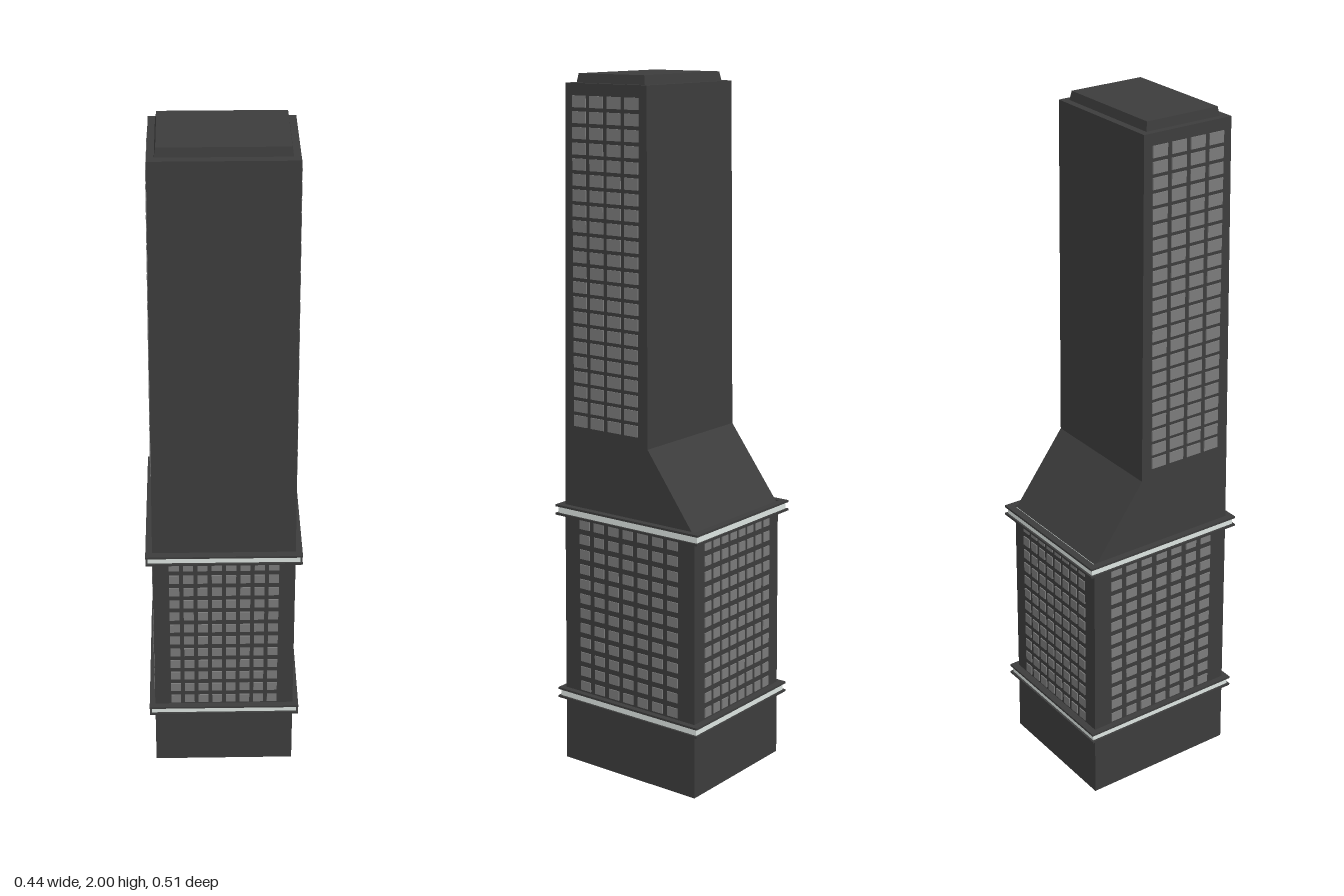
import * as THREE from 'three';
import { mergeGeometries } from 'three/addons/utils/BufferGeometryUtils.js';

const mat = (name, color, side = THREE.FrontSide) => {
  const m = new THREE.MeshStandardMaterial({ color, side });
  m.name = name;
  return m;
};

// Rectangular sections [y, halfWidth, zBack, zFront], base to top
const SHAFT = [
  [0, 0.206, -0.235, 0.238],
  [0.77, 0.203, -0.23, 0.233],
  [0.99, 0.201, -0.067, 0.231],
  [1.975, 0.192, -0.061, 0.22],
];
const ROOF = [
  [1.975, 0.173, -0.04, 0.196],
  [2.0, 0.169, -0.035, 0.192],
];

// Interpolated section of the shaft at a height
function sectionAt(y) {
  let i = 0;
  while (i < SHAFT.length - 2 && y > SHAFT[i + 1][0]) i++;
  const a = SHAFT[i], b = SHAFT[i + 1];
  const t = (y - a[0]) / (b[0] - a[0]);
  return a.map((v, k) => v + (b[k] - v) * t);
}

// Four-sided walls through the sections, with a flat lid and an open bottom
function loft(sections) {
  const pos = [];
  const corners = ([y, w, zb, zf]) => [[-w, y, zf], [w, y, zf], [w, y, zb], [-w, y, zb]];
  const quad = (a, b, c, d) => pos.push(...a, ...b, ...c, ...a, ...c, ...d);
  for (let i = 0; i < sections.length - 1; i++) {
    const lo = corners(sections[i]), hi = corners(sections[i + 1]);
    for (let k = 0; k < 4; k++) {
      const n = (k + 1) % 4;
      quad(lo[k], lo[n], hi[n], hi[k]);
    }
  }
  quad(...corners(sections[sections.length - 1]));
  const g = new THREE.BufferGeometry();
  g.setAttribute('position', new THREE.Float32BufferAttribute(pos, 3));
  g.computeVertexNormals();
  return g;
}

// Flat rectangular ring lying at height y
function ring(w, d, innerW, innerD, y, height) {
  const rect = (T, a, b) => {
    const p = new T();
    p.moveTo(-a, -b);
    p.lineTo(a, -b);
    p.lineTo(a, b);
    p.lineTo(-a, b);
    p.closePath();
    return p;
  };
  const shape = rect(THREE.Shape, w, d);
  shape.holes.push(rect(THREE.Path, innerW, innerD));
  return new THREE.ExtrudeGeometry(shape, { depth: height, bevelEnabled: false })
    .rotateX(-Math.PI / 2).translate(0, y, 0);
}

// Grid of thin panes that follows the lean of one wall
function panes(axis, sign, cols, rows, [u0, u1], [y0, y1], w, h) {
  const list = [];
  for (let r = 0; r < rows; r++) {
    const y = y0 + h / 2 + (y1 - y0 - h) * r / (rows - 1);
    const [, hx, zb, zf] = sectionAt(y);
    for (let c = 0; c < cols; c++) {
      const u = u0 + w / 2 + (u1 - u0 - w) * c / (cols - 1);
      const g = axis === 'x' ? new THREE.BoxGeometry(0.006, h, w) : new THREE.BoxGeometry(w, h, 0.006);
      if (axis === 'x') g.rotateZ(sign * 0.008).translate(sign * hx, y, u);
      else g.rotateX(-sign * 0.006).translate(u, y, sign > 0 ? zf : zb);
      list.push(g);
    }
  }
  return mergeGeometries(list);
}

export function createModel() {
  const tower = new THREE.Group();
  tower.name = 'tower';
  const wall = mat('charcoal wall', 0x3c3c3c, THREE.DoubleSide);
  const glass = mat('grey glass', 0x7a7a7a);
  const light = mat('pale trim', 0xdce4e0);

  const add = (name, geometry, material, parent = tower) => {
    const m = new THREE.Mesh(geometry, material);
    m.name = name;
    parent.add(m);
  };

  // Shaft with its sloping shoulder at the back, and the raised roof
  add('shaft', loft(SHAFT), wall);
  add('roofCap', loft(ROOF), wall);

  // Two cornices: a pale band between thin dark lips
  for (const [name, y] of [['lowerCornice', 0.191], ['upperCornice', 0.752]]) {
    const cornice = new THREE.Group();
    cornice.name = name;
    add('bottomLip', ring(0.222, 0.254, 0.203, 0.233, y, 0.006), wall, cornice);
    add('band', ring(0.216, 0.248, 0.198, 0.226, y + 0.006, 0.019), light, cornice);
    add('topLip', ring(0.222, 0.254, 0.203, 0.233, y + 0.025, 0.006), wall, cornice);
    tower.add(cornice);
  }

  // Windows: four lower walls, two upper side walls
  for (const s of [1, -1]) {
    add(s > 0 ? 'frontWindows' : 'backWindows',
      panes('z', s, 8, 12, [-0.157, 0.157], [0.228, 0.747], 0.029, 0.028), glass);
    const side = s > 0 ? 'left' : 'right';
    add(side + 'LowerWindows',
      panes('x', s, 7, 12, [-0.175, 0.178], [0.228, 0.747], 0.036, 0.028), glass);
    add(side + 'UpperWindows',
      panes('x', s, 4, 22, [-0.034, 0.195], [1.02, 1.942], 0.047, 0.032), glass);
  }
  return tower;
}
